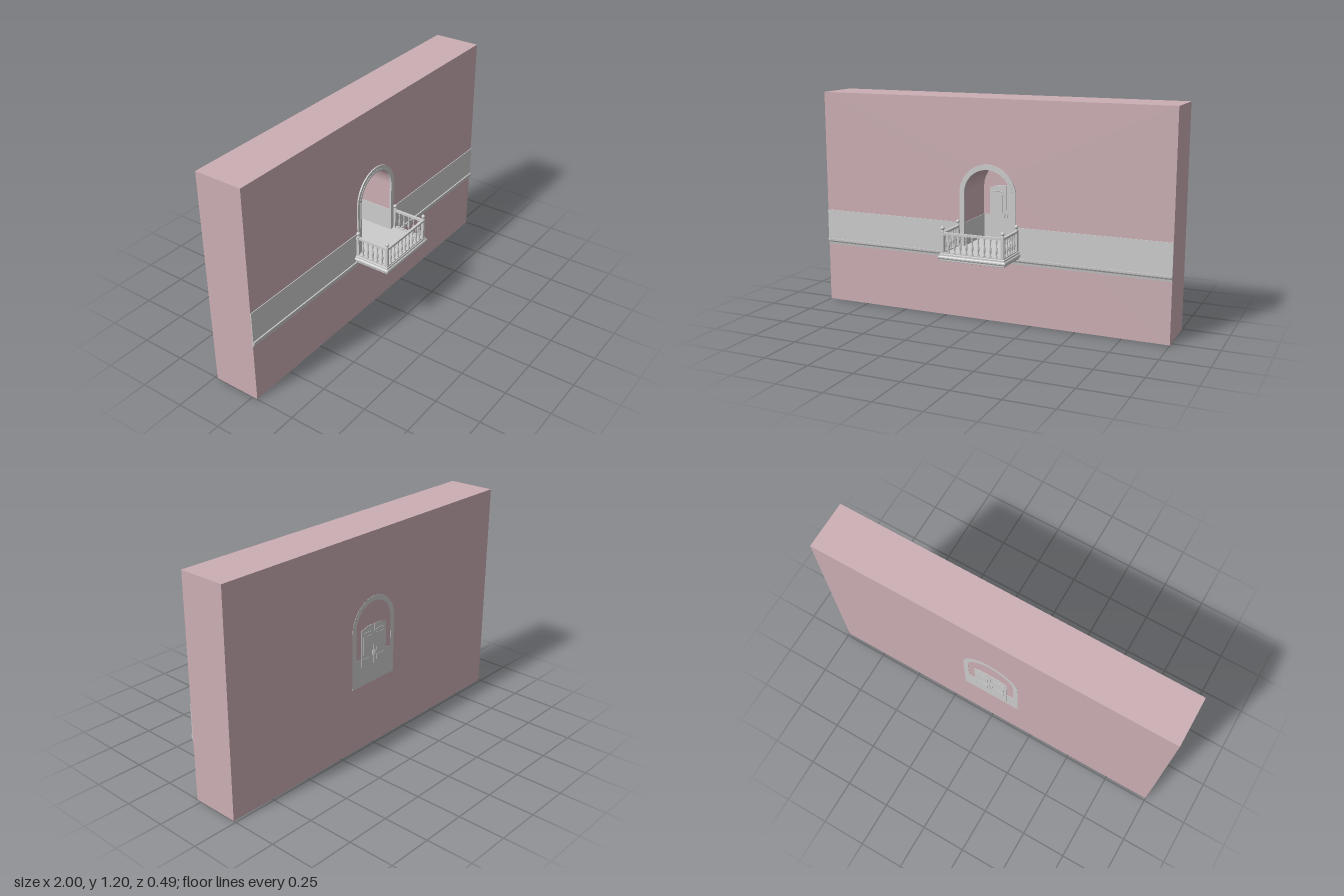
import * as THREE from 'three';

const pink = new THREE.MeshStandardMaterial({ color: 0xcbaeb3 });
pink.name = 'pink plaster';
const grey = new THREE.MeshStandardMaterial({ color: 0xcccccc });
grey.name = 'pale grey stone';

const FRONT = 0.03, BACK = -0.235, SPRING = 0.69, FLOOR = 0.402;

function add(parent, name, geo, mat, x = 0, y = 0, z = 0) {
  const m = new THREE.Mesh(geo, mat);
  m.name = name;
  m.position.set(x, y, z);
  parent.add(m);
  return m;
}

// box given by its limits on each axis
function block(parent, name, mat, [x0, x1], [y0, y1], [z0, z1]) {
  return add(parent, name, new THREE.BoxGeometry(x1 - x0, y1 - y0, z1 - z0), mat,
    (x0 + x1) / 2, (y0 + y1) / 2, (z0 + z1) / 2);
}

// round-headed outline standing on y0
function arch(target, r, y0) {
  target.moveTo(-r, y0);
  target.lineTo(r, y0);
  target.lineTo(r, SPRING);
  target.absarc(0, SPRING, r, 0, Math.PI, false);
  target.lineTo(-r, y0);
  return target;
}

function extrude(shape, depth) {
  return new THREE.ExtrudeGeometry(shape, { depth, bevelEnabled: false, curveSegments: 32 });
}

// arched band: two legs and a half ring
function archBand(outer, inner, y0) {
  const s = new THREE.Shape();
  s.moveTo(inner, y0);
  s.lineTo(outer, y0);
  s.lineTo(outer, SPRING);
  s.absarc(0, SPRING, outer, 0, Math.PI, false);
  s.lineTo(-outer, y0);
  s.lineTo(-inner, y0);
  s.lineTo(-inner, SPRING);
  s.absarc(0, SPRING, inner, Math.PI, 0, true);
  s.lineTo(inner, y0);
  return s;
}

// balcony slab tier with a rounded edge
function tier(parent, name, hx, zEnd, y0, h, round) {
  const s = new THREE.Shape();
  const x = hx - round, z = zEnd - round;
  s.moveTo(-x, -z);
  s.lineTo(x, -z);
  s.lineTo(x, -0.015);
  s.lineTo(-x, -0.015);
  s.closePath();
  const g = new THREE.ExtrudeGeometry(s, {
    depth: h - 2 * round, bevelEnabled: true, bevelSize: round, bevelThickness: round, bevelSegments: 4
  });
  g.rotateX(-Math.PI / 2);
  add(parent, name, g, grey, 0, y0 + round, 0);
}

function makeWall() {
  const g = new THREE.Group();
  g.name = 'wall';
  const s = new THREE.Shape();
  s.moveTo(-1, 0);
  s.lineTo(1, 0);
  s.lineTo(1, 1.2);
  s.lineTo(-1, 1.2);
  s.closePath();
  s.holes.push(arch(new THREE.Path(), 0.137, 0.395));
  add(g, 'wallBody', extrude(s, FRONT - BACK), pink, 0, 0, BACK);
  add(g, 'nicheBack', extrude(arch(new THREE.Shape(), 0.137, 0.395), 0.007), pink, 0, 0, BACK);

  // grey dado lining the niche, and its floor
  block(g, 'nicheFloor', grey, [-0.137, 0.137], [0.395, FLOOR], [-0.228, 0.03]);
  block(g, 'nicheBackDado', grey, [-0.137, 0.137], [FLOOR, 0.53], [-0.228, -0.225]);
  for (const s of [-1, 1])
    block(g, 'nicheSideDado', grey, [s * 0.1355 - 0.0015, s * 0.1355 + 0.0015], [FLOOR, 0.53], [-0.225, FRONT]);

  // flush arch and sill panel on the rear face
  add(g, 'rearArch', extrude(archBand(0.163, 0.135, 0.53), 0.0015), grey, 0, 0, BACK - 0.0012);
  block(g, 'rearSillPanel', grey, [-0.163, 0.163], [0.37, 0.53], [BACK - 0.0012, BACK + 0.0003]);
  return g;
}

function makeBand() {
  const g = new THREE.Group();
  g.name = 'stringCourse';
  for (const s of [-1, 1]) {
    const x = s < 0 ? [-1, -0.137] : [0.137, 1];
    block(g, 'bandPlate', grey, x, [0.36, 0.53], [FRONT - 0.002, 0.034]);
  }
  block(g, 'bandUnderDoor', grey, [-0.137, 0.137], [0.36, 0.396], [FRONT - 0.002, 0.034]);
  // tapering moulding along the bottom, profile in (z, y)
  const p = new THREE.Shape([[0.028, 0.33], [0.033, 0.33], [0.035, 0.342], [0.04, 0.35],
    [0.041, 0.361], [0.028, 0.361]].map(([z, y]) => new THREE.Vector2(-z, y)));
  const geo = new THREE.ExtrudeGeometry(p, { depth: 2, bevelEnabled: false });
  geo.rotateY(Math.PI / 2);
  add(g, 'bandMoulding', geo, grey, -1, 0, 0);
  return g;
}

function makeDoor() {
  const g = new THREE.Group();
  g.name = 'doubleDoor';
  const z0 = -0.2375, z1 = -0.219;
  for (const s of [-1, 1]) {
    const leaf = new THREE.Shape();
    leaf.moveTo(s * 0.002, FLOOR);
    leaf.lineTo(s * 0.097, FLOOR);
    leaf.lineTo(s * 0.097, 0.683);
    leaf.quadraticCurveTo(s * 0.05, 0.705, s * 0.002, 0.698);
    leaf.closePath();
    add(g, 'doorLeaf', extrude(leaf, z1 - z0), grey, 0, 0, z0);
    // raised panels on both faces
    for (const z of [z0, z1]) {
      for (const [a, b] of [[0.425, 0.52], [0.545, 0.645]])
        block(g, 'doorPanel', grey, [s * 0.05 - 0.03, s * 0.05 + 0.03], [a, b], [z - 0.0015, z + 0.0015]);
      for (let i = 0; i < 4; i++) {
        const bead = add(g, 'doorOrnament', new THREE.SphereGeometry(0.005, 10, 6), grey,
          s * (0.026 + i * 0.016), 0.667 - Math.abs(i - 1.5) * 0.003, z);
        bead.scale.z = 0.4;
      }
      const knob = add(g, 'doorHandle', new THREE.SphereGeometry(0.006, 12, 8), grey, s * 0.009, 0.535, z);
      knob.scale.set(0.7, 3, 0.8);
    }
  }
  block(g, 'meetingStrip', grey, [-0.004, 0.004], [FLOOR, 0.698], [z0 + 0.002, z1 + 0.002]);
  return g;
}

function makeBalcony() {
  const g = new THREE.Group();
  g.name = 'balcony';
  tier(g, 'slabFoot', 0.182, 0.235, 0.362, 0.013, 0.002);
  tier(g, 'slabRoundMoulding', 0.191, 0.244, 0.372, 0.02, 0.009);
  tier(g, 'slabTop', 0.184, 0.237, 0.388, FLOOR - 0.388, 0.003);

  const px = 0.17, zf = 0.225, zb = 0.042;
  const profile = [[0, 0], [0.006, 0], [0.006, 0.008], [0.0035, 0.012], [0.004, 0.02], [0.0065, 0.034],
    [0.006, 0.044], [0.003, 0.062], [0.003, 0.074], [0.0055, 0.08], [0.003, 0.086], [0.0055, 0.092],
    [0.0055, 0.1], [0, 0.1]].map(([x, y]) => new THREE.Vector2(x, y));
  const balusterGeo = new THREE.LatheGeometry(profile, 12);
  const baluster = (x, z) => add(g, 'baluster', balusterGeo, grey, x, 0.405, z);

  // handrail and bottom rail on the front and both sides
  for (const [y0, y1, w] of [[0.4, 0.408, 0.007], [0.503, 0.515, 0.007]]) {
    block(g, 'frontRail', grey, [-px, px], [y0, y1], [zf - w, zf + w]);
    for (const s of [-1, 1])
      block(g, 'sideRail', grey, [s * px - w, s * px + w], [y0, y1], [FRONT, zf]);
  }
  for (let i = 1; i < 10; i++) baluster(-px + i * 2 * px / 10, zf);

  for (const s of [-1, 1]) {
    for (let i = 1; i < 6; i++) baluster(s * px, zb + i * (zf - zb) / 6);
    // corner posts with ball finials
    for (const z of [zb, zf]) {
      block(g, 'post', grey, [s * px - 0.008, s * px + 0.008], [0.4, 0.518], [z - 0.008, z + 0.008]);
      add(g, 'finialNeck', new THREE.CylinderGeometry(0.004, 0.007, 0.012, 12), grey, s * px, 0.523, z);
      add(g, 'finialBall', new THREE.SphereGeometry(0.0105, 16, 12), grey, s * px, 0.536, z);
    }
  }
  return g;
}

export function createModel() {
  const model = new THREE.Group();
  model.name = 'balconyWall';
  model.add(makeWall(), makeBand(), makeDoor(), makeBalcony());
  // stepped arch surround on the front face
  add(model, 'archSurround', extrude(archBand(0.163, 0.135, 0.39), 0.008), grey, 0, 0, FRONT - 0.001);
  add(model, 'archInnerBead', extrude(archBand(0.146, 0.135, 0.39), 0.01), grey, 0, 0, FRONT - 0.001);
  return model;
}
